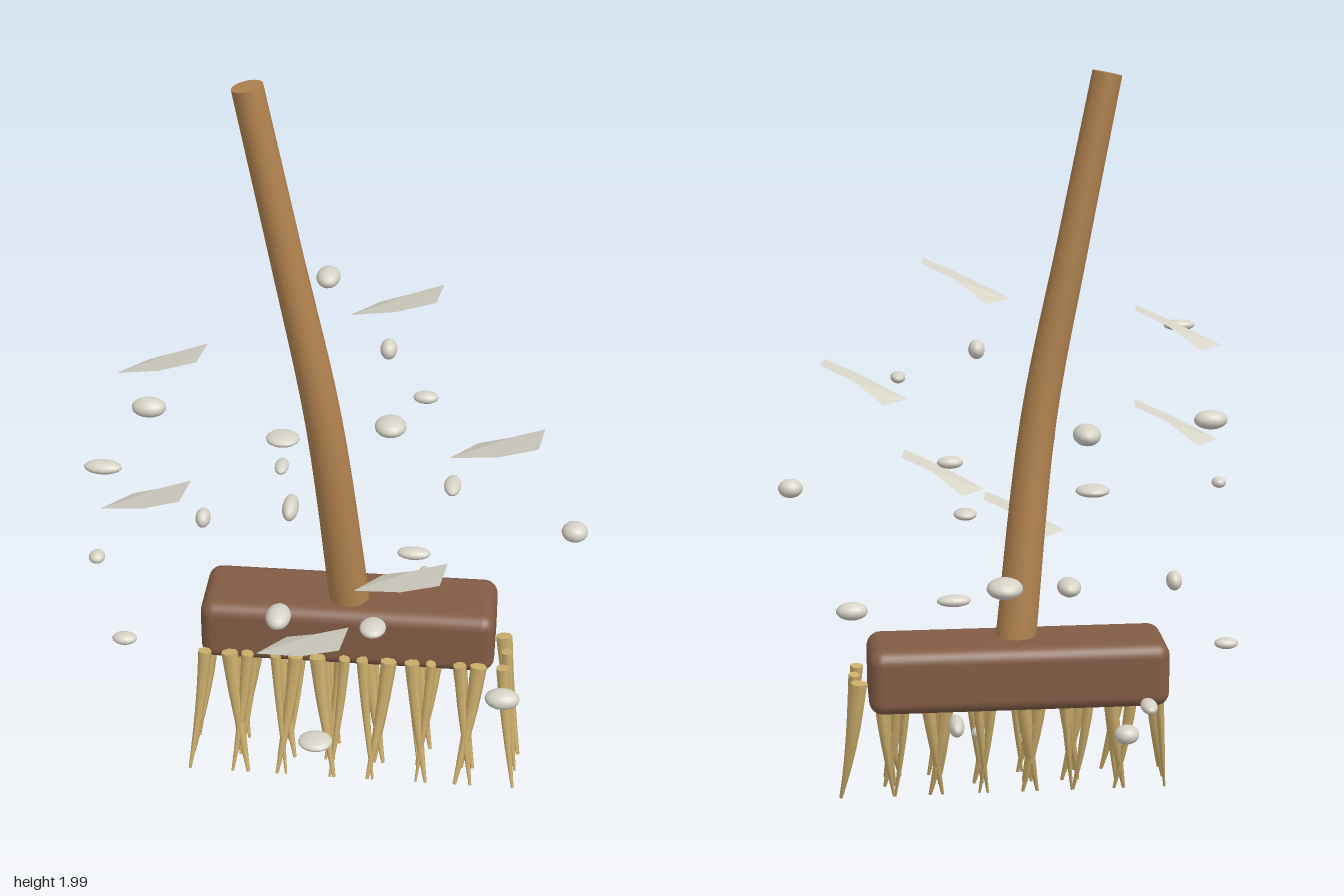
import * as THREE from 'three';
import { RoundedBoxGeometry } from 'three/addons/geometries/RoundedBoxGeometry.js';

const UP = new THREE.Vector3(0, 1, 0);

// Tapered, capped rod along a curve; points run from bottom to top.
function rod(points, radii, sides, steps) {
  const curve = new THREE.CatmullRomCurve3(points.map(p => new THREE.Vector3(...p)));
  const rings = [];
  for (let i = 0; i <= steps; i++) {
    const t = i / steps;
    const f = t * (radii.length - 1);
    const k = Math.min(Math.floor(f), radii.length - 2);
    const ring = {
      centre: curve.getPoint(t),
      turn: new THREE.Quaternion().setFromUnitVectors(UP, curve.getTangent(t)),
      r: THREE.MathUtils.lerp(radii[k], radii[k + 1], f - k),
    };
    if (i === 0) rings.push({ ...ring, r: 0 }, ring);
    rings.push(ring);
    if (i === steps) rings.push(ring, { ...ring, r: 0 });
  }
  const pos = [], index = [];
  rings.forEach((ring, j) => {
    for (let k = 0; k < sides; k++) {
      const a = (k / sides) * Math.PI * 2;
      const v = new THREE.Vector3(Math.cos(a) * ring.r, 0, Math.sin(a) * ring.r);
      v.applyQuaternion(ring.turn).add(ring.centre);
      pos.push(v.x, v.y, v.z);
      if (j === rings.length - 1) continue;
      const p = j * sides + k, q = j * sides + (k + 1) % sides;
      index.push(p, p + sides, q, q, p + sides, q + sides);
    }
  });
  const geo = new THREE.BufferGeometry();
  geo.setAttribute('position', new THREE.Float32BufferAttribute(pos, 3));
  geo.setIndex(index);
  geo.computeVertexNormals();
  return geo;
}

// Bent strip made of three cross-sections
function bentSheet() {
  const pos = [
    0.08, 1.397, 0.03, 0.01, 1.397, 0.11,
    0.16, 1.455, 0.092, 0.134, 1.452, 0.185,
    0.247, 1.495, 0.11, 0.233, 1.495, 0.21,
  ];
  const geo = new THREE.BufferGeometry();
  geo.setAttribute('position', new THREE.Float32BufferAttribute(pos, 3));
  geo.setIndex([0, 1, 2, 2, 1, 3, 2, 3, 4, 4, 3, 5]);
  const flat = geo.toNonIndexed();
  flat.computeVertexNormals();
  return flat;
}

export function createModel() {
  const mat = (name, color, extra = {}) => {
    const m = new THREE.MeshStandardMaterial({ color, ...extra });
    m.name = name;
    return m;
  };
  const handleWood = mat('handle wood', 0xb0824e);
  const blockWood = mat('block wood', 0x825c45);
  const straw = mat('straw', 0xccae6c);
  const ash = mat('pale ash', 0xd6d2c6);
  const paper = mat('pale sheet', 0xd6d3c6, { side: THREE.DoubleSide });

  const model = new THREE.Group();
  model.name = 'broom';
  const add = (parent, name, geo, material, x = 0, y = 0, z = 0) => {
    const mesh = new THREE.Mesh(geo, material);
    mesh.name = name;
    mesh.position.set(x, y, z);
    parent.add(mesh);
    return mesh;
  };
  const group = name => {
    const g = new THREE.Group();
    g.name = name;
    model.add(g);
    return g;
  };

  // Crooked handle and rounded head
  add(model, 'handle', rod(
    [[0.005, 0.45, 0.032], [-0.063, 1.07, 0.078], [-0.155, 1.55, 0.081], [-0.242, 1.992, 0.082]],
    [0.056, 0.049, 0.043, 0.04], 20, 18), handleWood);
  add(model, 'headBlock', new RoundedBoxGeometry(0.812, 0.18, 0.232, 4, 0.038), blockWood, 0.001, 0.395, 0.012);

  // Three rows of bristles, splayed left and right in turn
  const bristle = side => rod(
    [[side * 0.043, 0.008, 0.07], [side * 0.026, 0.12, 0.036], [side * 0.011, 0.24, 0.013], [0, 0.365, 0]],
    [0.004, 0.01, 0.015, 0.019], 7, 6);
  const splayed = [bristle(-1), bristle(1)];
  [0.165, 0.09, 0.016].forEach((z, row) => {
    const g = group('bristleRow' + (row + 1));
    for (let i = 0; i < 14; i++) {
      const shift = 0.008 * Math.sin(i * 2.4 + row * 1.9);
      const b = add(g, 'bristle', splayed[i % 2], straw, -0.385 + i * 0.063 + shift, 0, z);
      b.scale.x = 1 + 0.25 * Math.sin(i * 1.7 + row * 2.3);
    }
  });

  // Bent sheets stepping down and forward: x offset per sheet
  const sheets = group('floatingSheets');
  const sheetShape = bentSheet();
  [0, -0.588, 0.268, -0.615, 0.042, -0.199].forEach((x, i) =>
    add(sheets, 'sheet', sheetShape, paper, x, -0.152 * i, 0.0843 * i));

  // Drifting specks: centre, then half sizes
  const specks = group('floatingSpecks');
  const ball = new THREE.SphereGeometry(1, 16, 12);
  [
    [-0.534, 1.225, 0.615, 0.046, 0.016, 0.024],
    [0.105, 1.273, 0.051, 0.022, 0.026, 0.032],
    [0.296, 1.12, 0.451, 0.021, 0.016, 0.042],
    [-0.114, 1.172, -0.54, 0.034, 0.026, 0.051],
    [-0.528, 1.067, 0.055, 0.046, 0.026, 0.033],
    [0.191, 1.017, -0.155, 0.034, 0.016, 0.024],
    [-0.118, 0.965, 0.348, 0.021, 0.026, 0.051],
    [-0.191, 0.912, -0.077, 0.046, 0.016, 0.042],
    [0.604, 0.86, 0.229, 0.034, 0.026, 0.033],
    [-0.617, 0.808, 0.385, 0.021, 0.016, 0.024],
    [0.075, 0.757, -0.43, 0.046, 0.026, 0.051],
    [0.105, 0.705, 0.486, 0.034, 0.016, 0.042],
    [-0.415, 0.653, -0.06, 0.021, 0.026, 0.033],
    [0.174, 0.601, -0.018, 0.046, 0.016, 0.024],
    [-0.169, 0.55, 0.244, 0.034, 0.026, 0.051],
    [-0.265, 0.497, -0.602, 0.021, 0.016, 0.042],
    [0.438, 0.446, 0.409, 0.046, 0.026, 0.033],
    [-0.606, 0.395, 0.169, 0.034, 0.016, 0.024],
    [0.188, 0.342, -0.277, 0.021, 0.026, 0.051],
    [-0.05, 0.291, 0.437, 0.046, 0.016, 0.042],
    [-0.285, 0.238, -0.108, 0.034, 0.026, 0.033],
    [0.1, 0.188, 0.08, 0.021, 0.016, 0.024],
  ].forEach(([x, y, z, rx, ry, rz]) =>
    add(specks, 'speck', ball, ash, x, y, z).scale.set(rx, ry, rz));

  return model;
}
